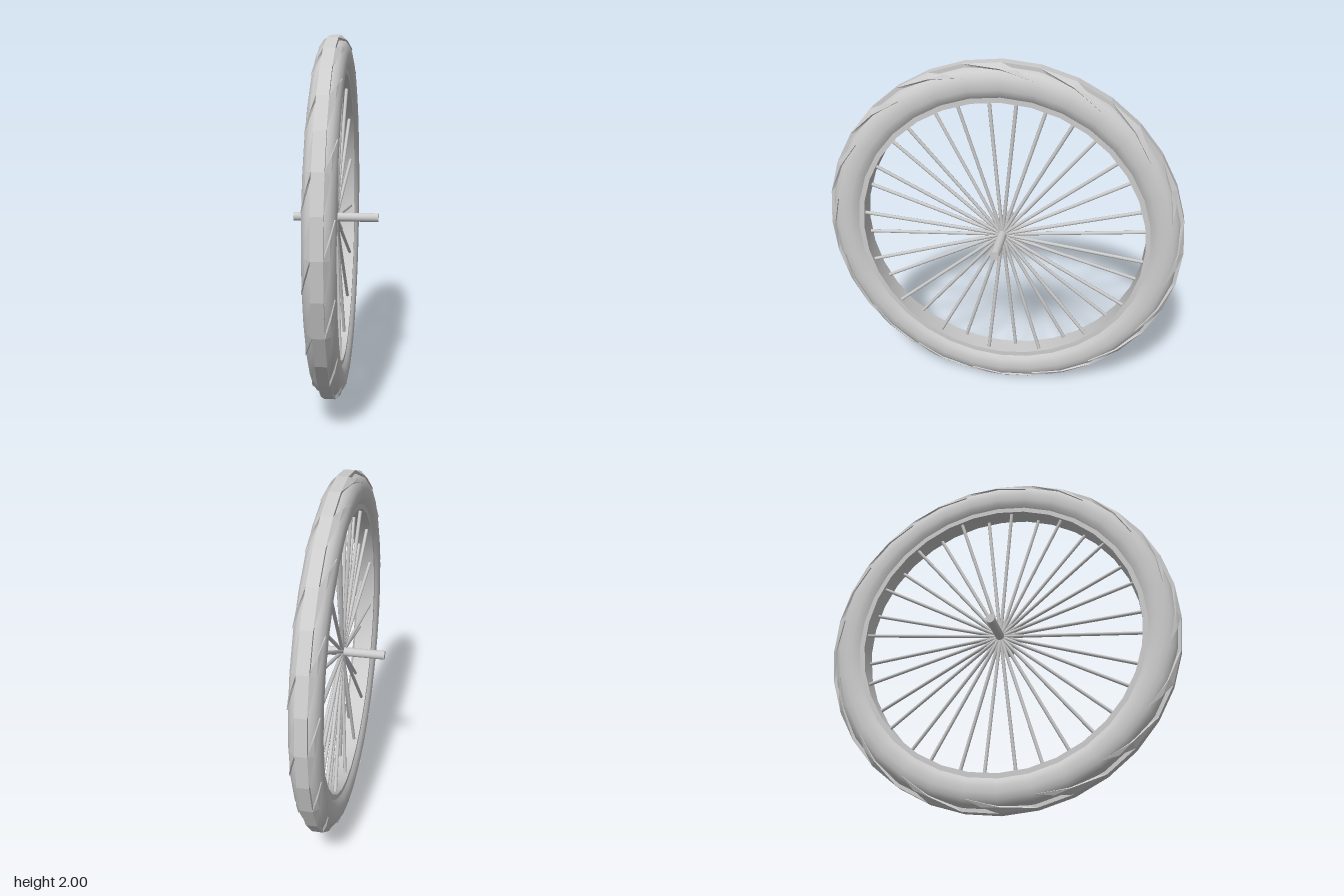
import * as THREE from 'three';
import { toCreasedNormals } from 'three/addons/utils/BufferGeometryUtils.js';

const SEGMENTS = 32, RING = 0.905;
const deg = THREE.MathUtils.degToRad;

// Ring around the axle from [radius, x] profile points
function ring(profile) {
  const points = profile.map(([r, x]) => new THREE.Vector2(r, x));
  return new THREE.LatheGeometry(points, SEGMENTS).rotateZ(Math.PI / 2);
}

// Pointed tread wing, lofted from the centre band to its tip on the shoulder of the tyre
function wingGeometry() {
  // x, radius, trailing angle, leading angle
  const sections = [[0.03, 1, -11.25, 0], [0.058, 0.973, -0.4, 5.2], [0.078, 0.942, 10.4, 10.6]];
  const positions = [], index = [];
  for (const [x, r, lo, hi] of sections) {
    // depth 0.8 lies sunk in the tyre, depth 1 is the top face
    for (const [a, depth] of [[lo, 0.8], [lo, 1], [hi, 1], [hi, 0.8]]) {
      const radius = RING + (r - RING) * depth;
      positions.push(x * depth, radius * Math.cos(deg(a)), -radius * Math.sin(deg(a)));
    }
  }
  for (let i = 0; i < sections.length - 1; i++) {
    for (let j = 0; j < 3; j++) {
      const p = i * 4 + j, q = p + 4;
      index.push(p, q, p + 1, q, q + 1, p + 1);
    }
  }
  const geometry = new THREE.BufferGeometry();
  geometry.setAttribute('position', new THREE.Float32BufferAttribute(positions, 3));
  geometry.setIndex(index);
  geometry.computeVertexNormals();
  return geometry;
}

export function createModel() {
  const model = new THREE.Group();
  const wheel = new THREE.Group();
  wheel.name = 'wheel';
  wheel.position.y = 1;
  model.add(wheel);

  const smooth = new THREE.MeshStandardMaterial({ color: 0xcccccc });
  const faceted = new THREE.MeshStandardMaterial({
    color: 0xcccccc, flatShading: true, side: THREE.DoubleSide });
  const add = (name, geometry, material = smooth, parent = wheel) => {
    const mesh = new THREE.Mesh(geometry, material);
    mesh.name = name;
    parent.add(mesh);
    return mesh;
  };

  // Tyre: rounded outside, squarer towards the rim
  const tyreHalf = [[0.825, 0.055], [0.845, 0.07], [0.87, 0.078], [0.905, 0.08],
    [0.94, 0.073], [0.965, 0.054], [0.98, 0.03]];
  add('tyre', ring([
    ...tyreHalf.map(([r, x]) => [r, -x]), [0.985, 0], ...tyreHalf.slice().reverse()]));

  // Tread: centre band with slanted wings on both shoulders
  const tread = new THREE.Group();
  tread.name = 'tread';
  wheel.add(tread);
  add('treadBand', ring([[0.975, -0.03], [1, -0.03], [1, 0.03], [0.975, 0.03]]), faceted, tread);
  const leftWing = wingGeometry();
  const rightWing = leftWing.clone().rotateY(Math.PI);
  for (let i = 0; i < 16; i++) {
    const angle = (i / 16) * Math.PI * 2;
    add('leftTreadWing', leftWing, faceted, tread).rotation.x = angle;
    add('rightTreadWing', rightWing, faceted, tread).rotation.x = angle;
  }

  // Rim: flat band inside the tyre
  const rim = ring([[0.835, -0.055], [0.835, 0.055], [0.797, 0.055], [0.797, -0.055], [0.835, -0.055]]);
  add('rim', toCreasedNormals(rim, deg(40)));

  // Spokes: from the hub centre to alternate sides of the rim
  const spokes = new THREE.Group();
  spokes.name = 'spokes';
  wheel.add(spokes);
  const length = 0.805;
  const spokeGeometry = new THREE.CylinderGeometry(0.01, 0.01, length, 8).translate(0, length / 2, 0);
  const up = new THREE.Vector3(0, 1, 0);
  for (let i = 0; i < 32; i++) {
    const a = ((i + 0.5) / 32) * Math.PI * 2;
    const end = new THREE.Vector3(i % 2 ? -0.03 : 0.03, 0.8 * Math.cos(a), -0.8 * Math.sin(a));
    add('spoke', spokeGeometry, smooth, spokes).quaternion.setFromUnitVectors(up, end.normalize());
  }

  // Axle
  add('axle', new THREE.CylinderGeometry(0.025, 0.025, 0.48, 16).rotateZ(Math.PI / 2));

  return model;
}
